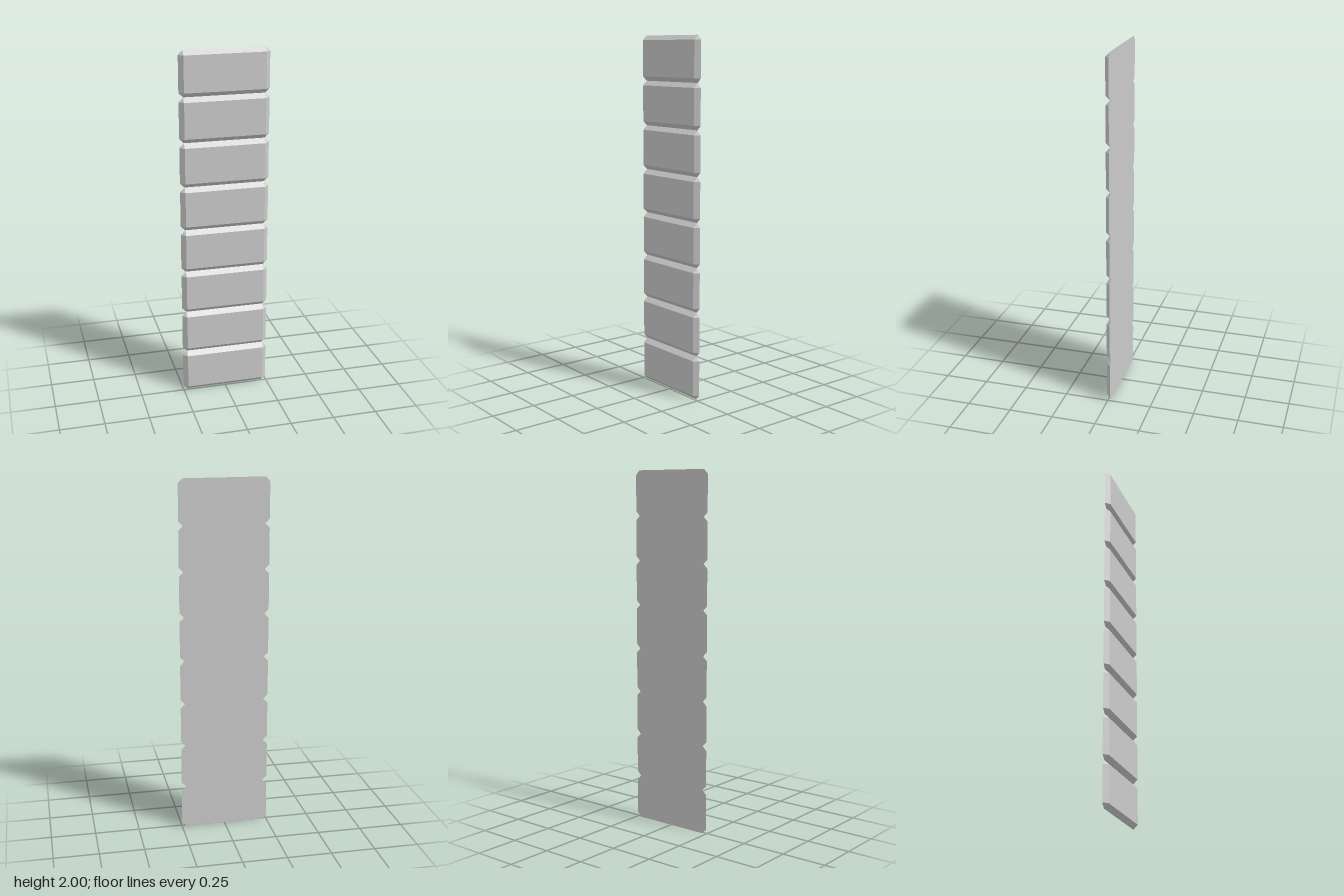
import * as THREE from 'three';
import { ConvexGeometry } from 'three/addons/geometries/ConvexGeometry.js';

const COUNT = 8;
const HALF_WIDTH = 0.25;
const HALF_HEIGHT = 1 / COUNT;
const BEVEL = 0.025;
const HALF_DEPTH = 0.0125;

// Flat-backed block: octagonal back outline, smaller rectangular front face
function blockGeometry() {
  const points = [];
  const innerX = HALF_WIDTH - BEVEL;
  const innerY = HALF_HEIGHT - BEVEL;
  for (const sx of [-1, 1]) {
    for (const sy of [-1, 1]) {
      points.push(
        new THREE.Vector3(sx * innerX, sy * innerY, HALF_DEPTH),
        new THREE.Vector3(sx * HALF_WIDTH, sy * innerY, -HALF_DEPTH),
        new THREE.Vector3(sx * innerX, sy * HALF_HEIGHT, -HALF_DEPTH)
      );
    }
  }
  return new ConvexGeometry(points);
}

export function createModel() {
  const model = new THREE.Group();
  model.name = 'quoinStrip';
  const material = new THREE.MeshStandardMaterial({ color: 0xcccccc, flatShading: true });
  const geometry = blockGeometry();

  // Blocks stacked edge to edge
  for (let i = 0; i < COUNT; i++) {
    const block = new THREE.Mesh(geometry, material);
    block.name = `block${i + 1}`;
    block.position.y = HALF_HEIGHT * (2 * i + 1);
    model.add(block);
  }
  return model;
}
